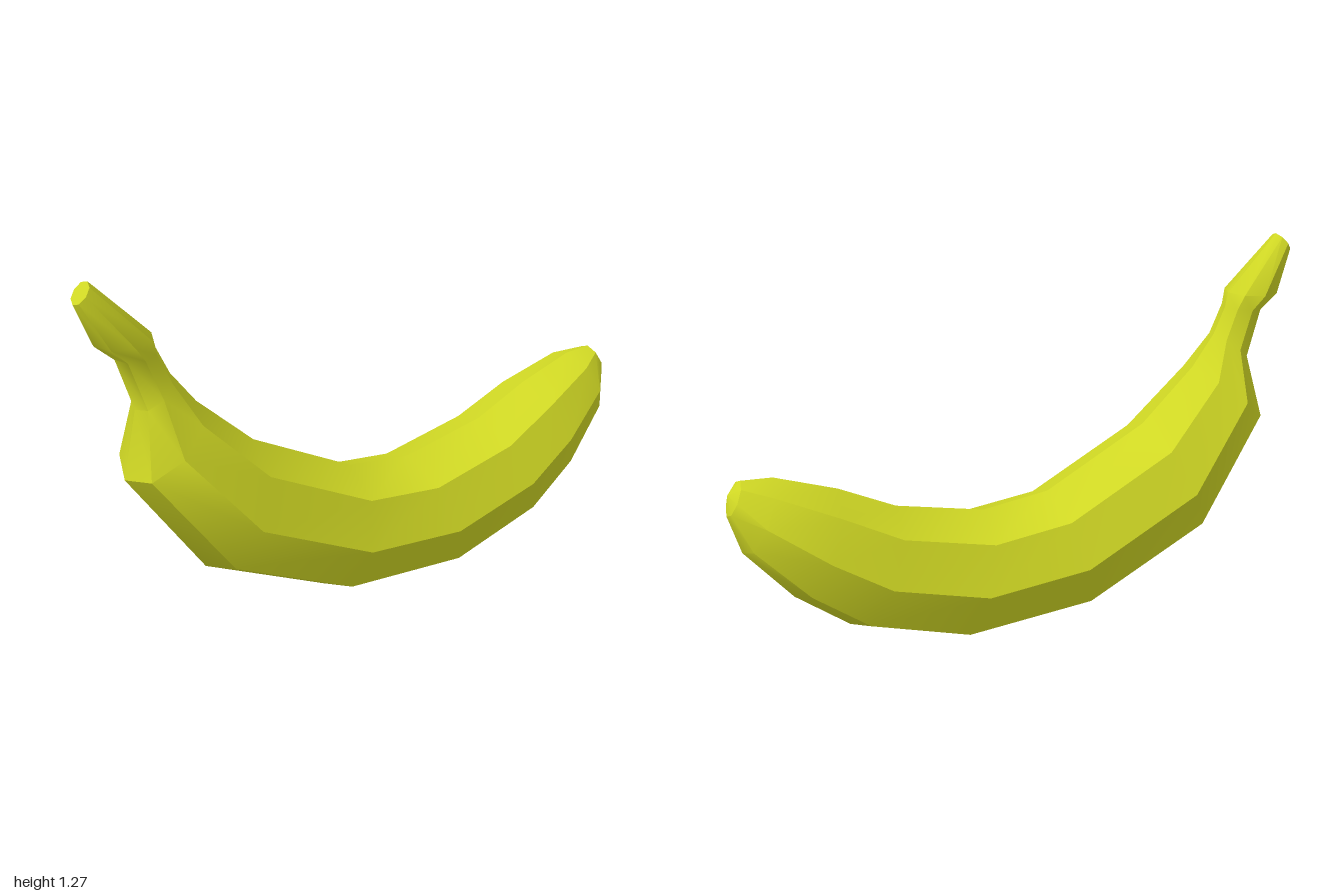
import * as THREE from 'three';
import { toCreasedNormals } from 'three/addons/utils/BufferGeometryUtils.js';

const SIDES = 8;

// Stations along the fruit: top x, top y, bottom x, bottom y, half width
const STATIONS = [
  [-0.95, 1.27, -1.0, 1.21, 0.042], // stem end
  [-0.77, 1.08, -0.95, 1.075, 0.092], // stem knob
  [-0.76, 1.03, -0.89, 1.02, 0.072],
  [-0.72, 0.94, -0.84, 0.85, 0.08], // neck
  [-0.64, 0.83, -0.89, 0.63, 0.165], // shoulder
  [-0.45, 0.65, -0.64, 0.25, 0.222],
  [-0.09, 0.46, -0.2, 0.035, 0.222],
  [0.145, 0.43, 0.28, 0.0, 0.222],
  [0.45, 0.495, 0.62, 0.105, 0.213],
  [0.64, 0.585, 0.8, 0.24, 0.19],
  [0.845, 0.655, 0.955, 0.42, 0.13],
  [0.945, 0.66, 0.995, 0.55, 0.053], // blossom end
];

// Octagonal ring with a vertex at the top, running top -> +z -> bottom
function ring([tx, ty, bx, by, w]) {
  const mx = (tx + bx) / 2, my = (ty + by) / 2;
  return Array.from({ length: SIDES }, (_, j) => {
    const a = (j / SIDES) * Math.PI * 2;
    const c = Math.cos(a);
    return [mx + c * (tx - mx), my + c * (ty - my), w * Math.sin(a)];
  });
}

function build(triangles) {
  const geometry = new THREE.BufferGeometry();
  geometry.setAttribute('position', new THREE.Float32BufferAttribute(triangles.flat(2), 3));
  return toCreasedNormals(geometry, THREE.MathUtils.degToRad(36));
}

// Skin joining consecutive rings
function loft(rings) {
  const tris = [];
  for (let i = 0; i < rings.length - 1; i++) {
    for (let j = 0; j < SIDES; j++) {
      const k = (j + 1) % SIDES;
      const a = rings[i][j], b = rings[i][k], c = rings[i + 1][j], d = rings[i + 1][k];
      tris.push([a, b, c], [b, d, c]);
    }
  }
  return build(tris);
}

// Fan closing one end
function cap(points, center, flip) {
  return build(points.map((p, j) => {
    const q = points[(j + 1) % SIDES];
    return flip ? [center, q, p] : [center, p, q];
  }));
}

export function createModel() {
  const group = new THREE.Group();
  group.name = 'banana';
  const material = new THREE.MeshStandardMaterial({ color: 0xd0d824 });
  const add = (name, geometry) => {
    const mesh = new THREE.Mesh(geometry, material);
    mesh.name = name;
    group.add(mesh);
  };

  const rings = STATIONS.map(ring);
  add('peel', loft(rings));
  add('stemCap', cap(rings[0], [-0.975, 1.24, 0], true));
  add('blossomTip', cap(rings[rings.length - 1], [0.988, 0.618, 0], false));
  return group;
}
